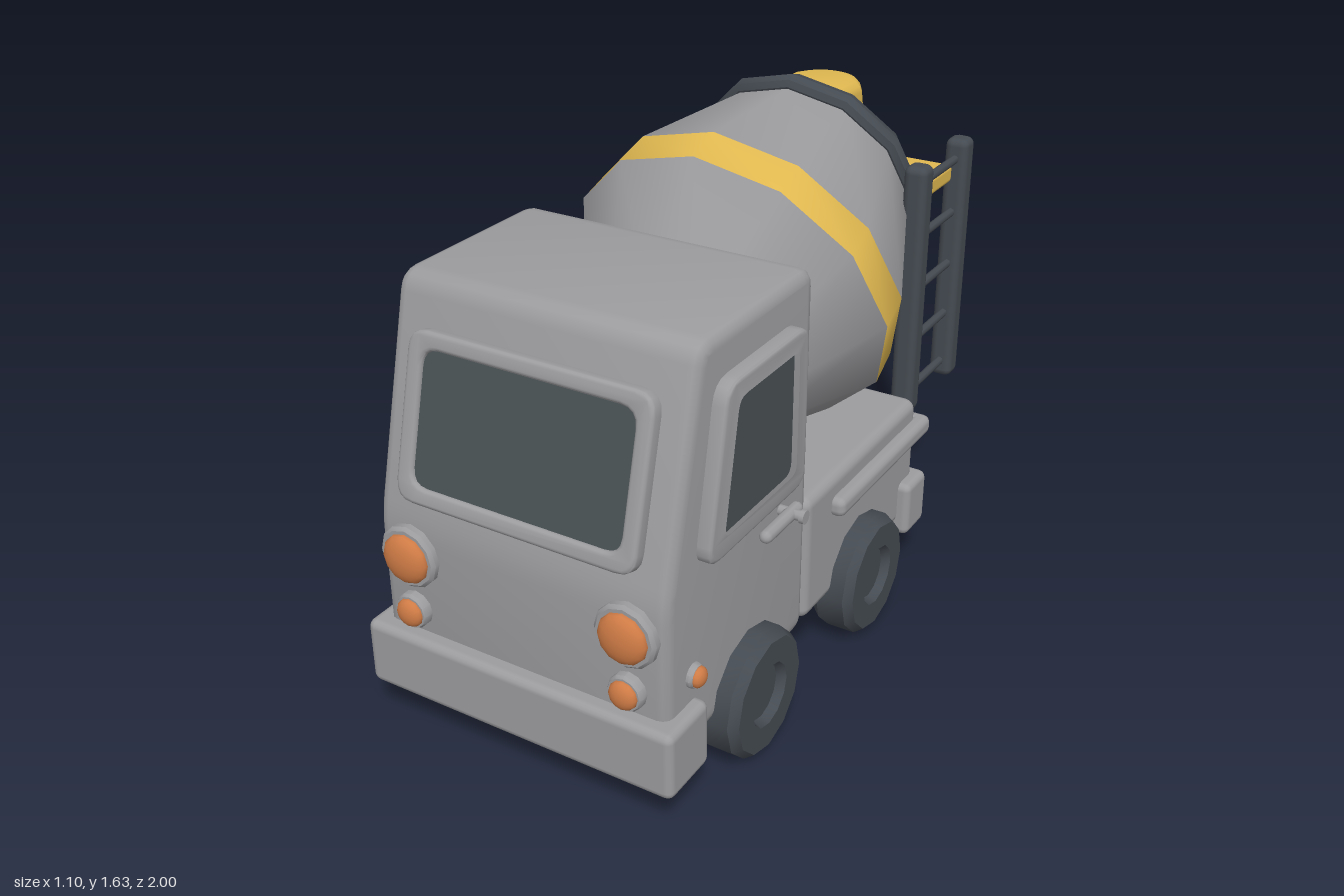
import * as THREE from 'three';
import { toCreasedNormals } from 'three/addons/utils/BufferGeometryUtils.js';
import { RoundedBoxGeometry } from 'three/addons/geometries/RoundedBoxGeometry.js';

const mat = (name, color) => {
  const m = new THREE.MeshStandardMaterial({ color });
  m.name = name;
  return m;
};

export function createModel() {
  const model = new THREE.Group();
  model.name = 'cementMixerTruck';
  const grey = mat('bodyGrey', 0x9c9c9f);
  const dark = mat('rubberDark', 0x454b52);
  const glass = mat('windowGlass', 0x4a5154);
  const yellow = mat('mixerYellow', 0xe0b850);
  const orange = mat('lampOrange', 0xd07c46);

  const add = (name, geo, m, pos = [0, 0, 0], parent = model) => {
    const mesh = new THREE.Mesh(geo, m);
    mesh.name = name;
    mesh.position.set(...pos);
    parent.add(mesh);
    return mesh;
  };
  const rbox = (w, h, d, r) => new RoundedBoxGeometry(w, h, d, 2, r);
  const lathe = (pts, seg = 12, crease = 0.6) =>
    toCreasedNormals(new THREE.LatheGeometry(pts.map(p => new THREE.Vector2(...p)), seg), crease);

  // Polygon with rounded corners
  const rounded = (pts, r, Type = THREE.Shape) => {
    const s = new Type();
    const v = pts.map(p => new THREE.Vector2(...p));
    v.forEach((p, i) => {
      const toward = q => q.clone().sub(p).setLength(r).add(p);
      const a = toward(v[(i + v.length - 1) % v.length]);
      const b = toward(v[(i + 1) % v.length]);
      if (i) s.lineTo(a.x, a.y); else s.moveTo(a.x, a.y);
      s.quadraticCurveTo(p.x, p.y, b.x, b.y);
    });
    s.closePath();
    return s;
  };
  // Extrusion centred on its depth, with softened edges
  const slab = (shape, depth, bevel) => {
    const g = new THREE.ExtrudeGeometry(shape, {
      depth: depth - 2 * bevel, bevelEnabled: bevel > 0, bevelSize: bevel, bevelThickness: bevel,
      bevelOffset: -bevel, bevelSegments: 3, curveSegments: 4,
    });
    g.translate(0, 0, bevel - depth / 2);
    return toCreasedNormals(g, 0.65);
  };
  // Side profiles are given as [z, y] and extruded across x
  const side = pts => pts.map(([z, y]) => [-z, y]);

  // Cab
  const cabShape = rounded(side([[0.18, 0.2], [0.94, 0.2], [0.94, 0.69], [0.77, 1.36], [0.18, 1.36]]), 0.055);
  add('cab', slab(cabShape, 0.94, 0.035).rotateY(Math.PI / 2), grey);

  // Windshield
  const rect = (w, h) => [[-w, -h], [w, -h], [w, h], [-w, h]];
  const windshield = new THREE.Group();
  windshield.name = 'windshield';
  windshield.position.set(0, 1.0, 0.87);
  windshield.rotation.x = -0.247;
  model.add(windshield);
  const wf = rounded(rect(0.385, 0.24), 0.06);
  wf.holes.push(rounded(rect(0.335, 0.19), 0.05, THREE.Path));
  add('windshieldFrame', slab(wf, 0.06, 0.012), grey, [0, 0, 0], windshield);
  add('windshieldGlass', slab(rounded(rect(0.342, 0.197), 0.05), 0.008, 0), glass, [0, 0, 0.012], windshield);

  // Side windows
  const outer = side([[0.805, 0.755], [0.71, 1.24], [0.28, 1.24], [0.28, 0.755]]);
  const inner = side([[0.74, 0.80], [0.665, 1.195], [0.325, 1.195], [0.325, 0.80]]);
  const sf = rounded(outer, 0.06);
  sf.holes.push(rounded(inner, 0.045, THREE.Path));

  // Lamp facing +z: bezel plus a domed lens
  const lamp = (name, r, lensR, lensH, pos, turn = 0) => {
    const g = new THREE.Group();
    g.name = name;
    g.position.set(...pos);
    g.rotation.y = turn;
    model.add(g);
    add('lampBezel', lathe([[r, -0.02], [r, 0.02], [r * 0.9, 0.03], [0, 0.03]]).rotateX(Math.PI / 2), grey, [0, 0, 0], g);
    const lens = new THREE.SphereGeometry(lensR, 12, 6, 0, Math.PI * 2, 0, Math.PI / 2);
    lens.scale(1, lensH / lensR, 1).rotateX(Math.PI / 2);
    add('lampLens', lens, orange, [0, 0, 0.03], g);
  };

  const wheelGeo = lathe([[0, -0.072], [0.17, -0.072], [0.195, -0.045], [0.195, 0.045], [0.175, 0.072],
    [0.098, 0.072], [0.085, 0.045], [0, 0.045]]);

  for (const s of [1, -1]) {
    const sideName = s > 0 ? 'left' : 'right';
    add(sideName + 'WindowFrame', slab(sf, 0.06, 0.012).rotateY(Math.PI / 2), grey, [s * 0.482, 0, 0]);
    add(sideName + 'WindowGlass', slab(rounded(inner, 0.04), 0.008, 0).rotateY(Math.PI / 2), glass, [s * 0.485, 0, 0]);

    // Door handle
    add(sideName + 'DoorHandle', new THREE.CapsuleGeometry(0.02, 0.17, 4, 10).rotateX(Math.PI / 2), grey, [s * 0.505, 0.69, 0.405]);
    add(sideName + 'HandlePost', new THREE.CylinderGeometry(0.016, 0.016, 0.08, 10).rotateZ(Math.PI / 2), grey, [s * 0.505, 0.69, 0.35]);
    add(sideName + 'HandleKnob', new THREE.CylinderGeometry(0.021, 0.021, 0.014, 10).rotateZ(Math.PI / 2), grey, [s * 0.545, 0.69, 0.35]);

    // Lamps
    lamp(sideName + 'Headlamp', 0.096, 0.076, 0.035, [s * 0.355, 0.595, 0.935]);
    lamp(sideName + 'FogLamp', 0.055, 0.044, 0.025, [s * 0.355, 0.42, 0.94]);
    lamp(sideName + 'TailLamp', 0.055, 0.043, 0.022, [s * 0.37, 0.415, -0.59], Math.PI);
    lamp(sideName + 'SideLamp', 0.036, 0.031, 0.022, [s * 0.458, 0.43, 0.815], s * Math.PI / 2);

    // Wheels
    for (const [n, z] of [['Front', 0.52], ['Rear', -0.18]]) {
      add(sideName + n + 'Wheel', wheelGeo, dark, [s * 0.472, 0.195, z]).rotation.z = -s * Math.PI / 2;
    }
    // Bed side rail
    add(sideName + 'BedRail', rbox(0.06, 0.065, 0.65, 0.025), grey, [s * 0.48, 0.522, -0.305]);
  }

  // Bed and bumpers
  add('bed', rbox(0.94, 0.42, 0.77, 0.035), grey, [0, 0.41, -0.21]);
  add('rearBedRail', rbox(1.02, 0.065, 0.06, 0.025), grey, [0, 0.522, -0.6]);
  add('frontBumper', rbox(1.02, 0.21, 0.2, 0.025), grey, [0, 0.245, 0.89]);
  add('rearBumper', rbox(1.02, 0.19, 0.145, 0.025), grey, [0, 0.255, -0.552]);

  // Mixer drum, its axis rising toward the rear
  const drum = new THREE.Group();
  drum.name = 'drum';
  drum.position.set(0, 1.28, -0.7);
  drum.rotation.x = -1.16;
  model.add(drum);
  add('drumFront', lathe([[0, -0.935], [0.3, -0.935], [0.53, -0.57]]), grey, [0, 0, 0], drum);
  add('drumStripe', lathe([[0.53, -0.57], [0.522, -0.45]]), yellow, [0, 0, 0], drum);
  add('drumRear', lathe([[0.522, -0.45], [0.345, 0]]), grey, [0, 0, 0], drum);
  add('drumCollar', lathe([[0.3, -0.035], [0.365, -0.035], [0.382, -0.02], [0.382, 0.01], [0.35, 0.05], [0.32, 0.058], [0, 0.058]]),
    dark, [0, 0, 0], drum);

  // Chute hood: D-shaped plan narrowing upward
  const plan = new THREE.Shape();
  plan.moveTo(-0.145, -0.18);
  plan.lineTo(0.145, -0.18);
  plan.lineTo(0.145, 0);
  plan.absarc(0, 0, 0.145, 0, Math.PI);
  plan.closePath();
  const hood = new THREE.ExtrudeGeometry(plan, {
    depth: 0.255, bevelSize: 0.04, bevelThickness: 0.04, bevelOffset: -0.04, bevelSegments: 3, curveSegments: 8,
  });
  hood.rotateX(-Math.PI / 2); // plan y becomes -z, depth becomes y
  const hp = hood.attributes.position;
  for (let i = 0; i < hp.count; i++) {
    const k = 1 - 0.5 * Math.max(0, hp.getY(i));
    hp.setX(i, hp.getX(i) * k);
    if (hp.getZ(i) < 0) hp.setZ(i, hp.getZ(i) * k + (1 - k) * 0.2);
  }
  add('chuteHood', toCreasedNormals(hood, 0.65), yellow, [0, 1.28, -0.79]);
  add('chuteRim', new THREE.TorusGeometry(0.158, 0.022, 8, 16).rotateX(Math.PI / 2), yellow, [0, 1.305, -0.82]);
  add('chuteFunnel', lathe([[0, 1.02], [0.075, 1.02], [0.155, 1.305], [0, 1.31]], 16), yellow, [0, 0, -0.825]);
  add('chuteArm', rbox(0.33, 0.06, 0.25, 0.015), yellow, [0.24, 1.28, -0.79]);

  // Ladder
  for (const z of [-0.633, -0.957]) {
    add('ladderRail', rbox(0.078, 0.845, 0.078, 0.025), dark, [0.407, 0.968, z]);
  }
  for (let i = 0; i < 5; i++) {
    add('ladderRung', new THREE.CylinderGeometry(0.014, 0.014, 0.32, 8).rotateX(Math.PI / 2), dark,
      [0.407, 0.605 + i * 0.18, -0.795]);
  }
  return model;
}
